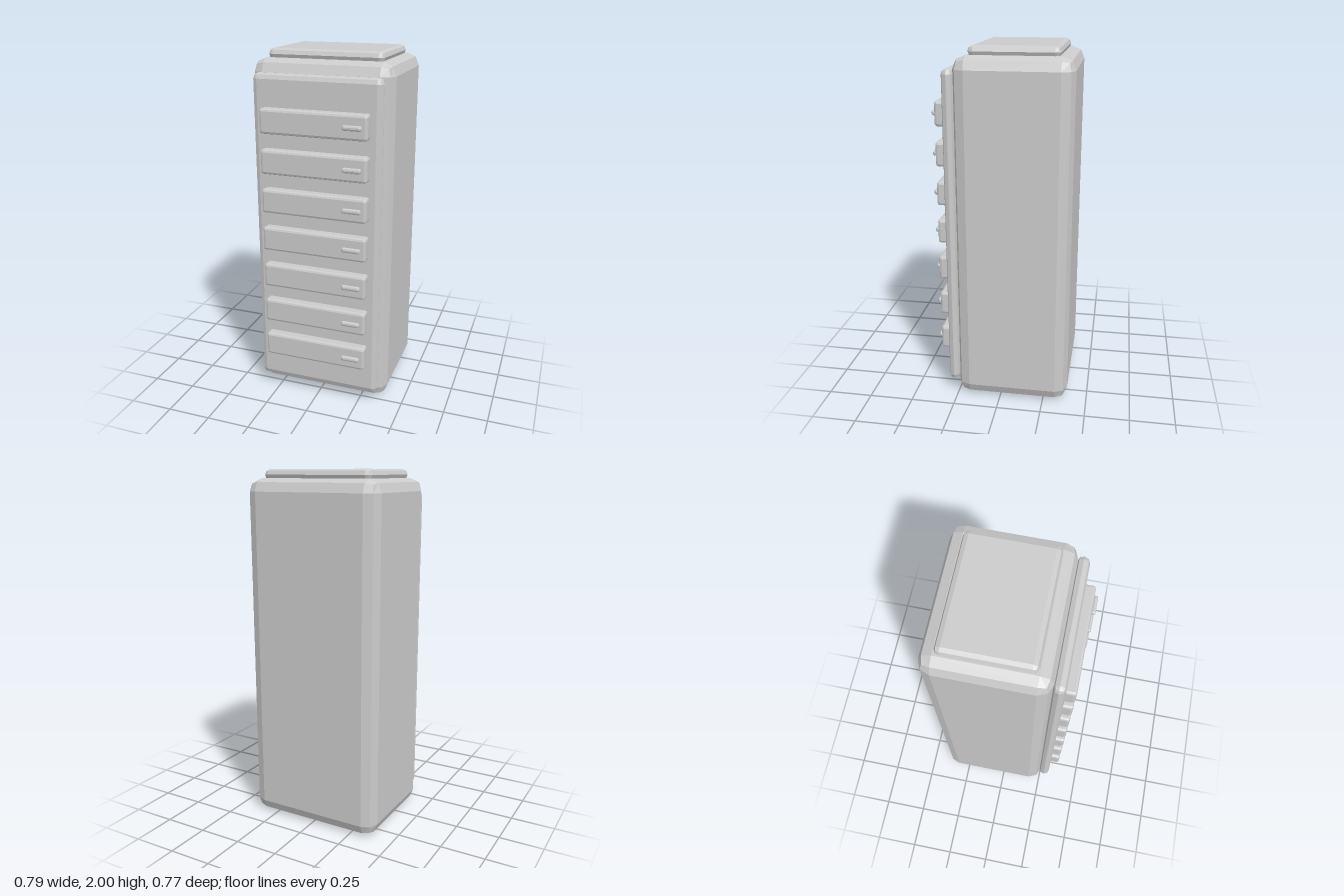
import * as THREE from 'three';
import { RoundedBoxGeometry } from 'three/addons/geometries/RoundedBoxGeometry.js';

const grey = new THREE.MeshStandardMaterial({ color: 0xcccccc, flatShading: true });
grey.name = 'light grey';

// Box between two corners, with its edges bevelled in two facets
function bevelBox(name, [x0, y0, z0], [x1, y1, z1], radius) {
  const geometry = new RoundedBoxGeometry(x1 - x0, y1 - y0, z1 - z0, 1, radius);
  const mesh = new THREE.Mesh(geometry, grey);
  mesh.name = name;
  mesh.position.set((x0 + x1) / 2, (y0 + y1) / 2, (z0 + z1) / 2);
  return mesh;
}

export function createModel() {
  const model = new THREE.Group();
  model.name = 'drawerCabinet';

  // Cabinet, top plate and front panel
  model.add(
    bevelBox('cabinetBody', [-0.396, 0, -0.387], [0.396, 1.952, 0.25], 0.07),
    bevelBox('topPlate', [-0.326, 1.94, -0.31], [0.326, 2, 0.175], 0.03),
    bevelBox('frontPanel', [-0.361, 0.07, 0.246], [0.361, 1.885, 0.31], 0.03),
  );

  // Seven drawer fronts, each with a small pull on its left side
  for (let i = 0; i < 7; i++) {
    const y = 0.313 + i * 0.2213;
    const drawer = new THREE.Group();
    drawer.name = `drawer${i + 1}`;
    drawer.add(
      bevelBox('drawerFront', [-0.3, y - 0.068, 0.28], [0.3, y + 0.068, 0.364], 0.014),
      bevelBox('drawerPull', [0.167, y - 0.014, 0.361], [0.273, y + 0.014, 0.385], 0.01),
    );
    model.add(drawer);
  }
  return model;
}
